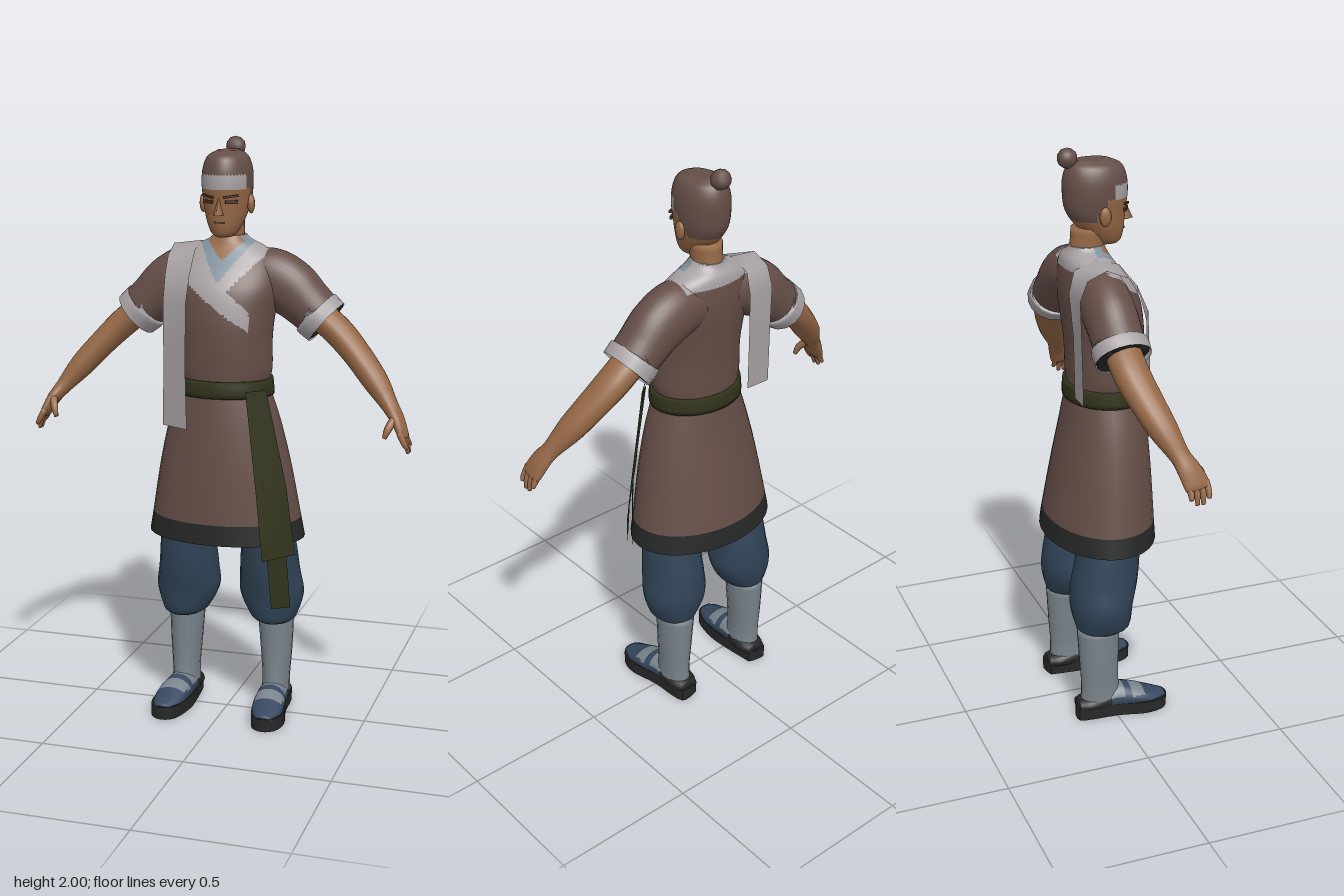
import * as THREE from 'three';

const mat = (name, color) => {
  const m = new THREE.MeshStandardMaterial({ color, side: THREE.DoubleSide });
  m.name = name;
  return m;
};

// Smooth skin through rows [x, y, z, a, b]; paint() picks a material per face.
function loft(rows, { seg = 24, steps = 24, axis, ref = [0, 0, 1], caps = true, mats = 1, paint = () => 0 } = {}) {
  const path = new THREE.CatmullRomCurve3(rows.map(r => new THREE.Vector3(r[0], r[1], r[2])), false, 'catmullrom', 0.5);
  const size = new THREE.CatmullRomCurve3(rows.map(r => new THREE.Vector3(r[3], r[4], 0)), false, 'catmullrom', 0.5);
  const pos = [], faces = Array.from({ length: mats }, () => []);
  const r = new THREE.Vector3(...ref);
  for (let i = 0; i <= steps; i++) {
    const c = path.getPoint(i / steps), k = size.getPoint(i / steps);
    const T = axis ? new THREE.Vector3(...axis) : path.getTangent(i / steps);
    const B = r.clone().addScaledVector(T, -T.dot(r)).normalize();
    const N = B.clone().cross(T);
    for (let j = 0; j < seg; j++) {
      const t = (j / seg) * Math.PI * 2;
      const p = c.clone().addScaledVector(N, k.x * Math.cos(t)).addScaledVector(B, k.y * Math.sin(t));
      pos.push(p.x, p.y, p.z);
    }
  }
  const add = (...f) => {
    const mid = [0, 1, 2].map(d => f.reduce((sum, v) => sum + pos[v * 3 + d], 0) / 3);
    faces[paint(...mid)].push(...f);
  };
  for (let i = 0; i < steps; i++) for (let j = 0; j < seg; j++) {
    const a = i * seg + j, b = i * seg + (j + 1) % seg;
    add(a, b, a + seg);
    add(b, b + seg, a + seg);
  }
  if (caps) {
    const first = pos.length / 3, end = steps * seg, last = rows[rows.length - 1];
    pos.push(...rows[0].slice(0, 3), ...last.slice(0, 3));
    for (let j = 0; j < seg; j++) {
      const n = (j + 1) % seg;
      add(first, n, j);
      add(first + 1, end + j, end + n);
    }
  }
  const g = new THREE.BufferGeometry();
  g.setAttribute('position', new THREE.Float32BufferAttribute(pos, 3));
  g.setIndex(faces.flat());
  let start = 0;
  faces.forEach((f, m) => { g.addGroup(start, f.length, m); start += f.length; });
  g.computeVertexNormals();
  return g;
}

// Horizontal section from extents: y, x from, x to, z front, z back
const ring = (y, x0, x1, zf, zb) => [(x0 + x1) / 2, y, (zf + zb) / 2, Math.abs(x1 - x0) / 2, (zf - zb) / 2];
const body = rows => rows.map(([y, rx, zf, zb]) => ring(y, -rx, rx, zf, zb));
const UP = [0, 1, 0];

// Flat cloth strip between two edges: rows of [x, y, z, x, y, z]
function ribbon(rows) {
  const g = new THREE.BufferGeometry(), idx = [];
  g.setAttribute('position', new THREE.Float32BufferAttribute(rows.flat(), 3));
  for (let i = 0; i < rows.length - 1; i++) idx.push(2 * i, 2 * i + 2, 2 * i + 1, 2 * i + 1, 2 * i + 2, 2 * i + 3);
  g.setIndex(idx);
  g.computeVertexNormals();
  return g;
}

export function createModel() {
  const model = new THREE.Group();
  model.name = 'robedFigure';
  const skin = mat('skin', 0x966846), brown = mat('brown cloth', 0x654e48), white = mat('pale cloth', 0xa8a1a4);
  const sockM = mat('grey sock', 0x7a848c), blue = mat('blue trousers', 0x304356), black = mat('black trim', 0x262727);
  const olive = mat('olive sash', 0x31331b), shoeM = mat('shoe blue', 0x36475f);
  const collar = mat('grey blue collar', 0x7f909b), dark = mat('dark features', 0x4b3324);
  const put = (name, geo, m, x = 0, y = 0, z = 0) => {
    const mesh = new THREE.Mesh(geo, m);
    mesh.name = name;
    mesh.position.set(x, y, z);
    model.add(mesh);
    return mesh;
  };

  // Tunic with crossed lapels and V collar
  const tunicMats = [brown, white, collar, skin];
  const tunicPaint = (x, y, z) => {
    const ax = Math.abs(x);
    if (z > 0 && y > 1.6 + ax) return 3;
    if (z > -0.03 && y > 1.53 + 1.4 * ax) return 2;
    if (z < -0.03) return y > 1.61 && ax < 0.14 ? 1 : 0;
    if (x < -0.2 || x > 0.14 || y < 1.45 - 0.7 * x) return 0;
    const lower = x < 0.11 && y < 1.51 - 0.9 * (x - 0.03);
    return lower || y > 1.5 + 1.1 * (x - 0.03) ? 1 : 0;
  };
  put('tunic', loft(body([
    [1.18, 0.15, 0.148, -0.1], [1.24, 0.163, 0.152, -0.102], [1.34, 0.163, 0.156, -0.106], [1.42, 0.17, 0.152, -0.115],
    [1.5, 0.182, 0.135, -0.124], [1.56, 0.178, 0.102, -0.125], [1.61, 0.158, 0.062, -0.12], [1.64, 0.122, 0.04, -0.115],
    [1.665, 0.072, 0.028, -0.1], [1.68, 0.056, 0.022, -0.094],
  ]), { seg: 96, steps: 80, axis: UP, mats: 4, paint: tunicPaint }), tunicMats);

  // Skirt with dark hem, and belt
  put('skirt', loft(body([
    [0.65, 0.275, 0.192, -0.192], [0.72, 0.262, 0.188, -0.182], [0.9, 0.23, 0.178, -0.15],
    [1.05, 0.195, 0.165, -0.122], [1.18, 0.152, 0.15, -0.103],
  ]), { seg: 32, steps: 32, axis: UP, caps: false, mats: 2, paint: (x, y) => (y < 0.717 ? 1 : 0) }), [brown, black]);
  put('belt', loft(body([[1.15, 0.17, 0.162, -0.113], [1.18, 0.169, 0.163, -0.113], [1.207, 0.166, 0.16, -0.111]]),
    { seg: 32, steps: 4, axis: UP }), olive);
  put('shortSashTail', ribbon([
    [0.11, 1.18, 0.158, 0.167, 1.18, 0.105], [0.15, 0.85, 0.17, 0.235, 0.85, 0.09], [0.18, 0.61, 0.192, 0.265, 0.61, 0.08],
  ]), olive);
  put('longSashTail', ribbon([
    [0.11, 1.17, 0.152, 0.16, 1.17, 0.11], [0.17, 0.8, 0.16, 0.225, 0.8, 0.1], [0.2, 0.43, 0.145, 0.25, 0.42, 0.08],
  ]), olive);

  // Stole over the right shoulder
  put('shoulderStole', ribbon([
    [-0.2, 1.19, -0.12, -0.11, 1.19, -0.118], [-0.2, 1.4, -0.125, -0.11, 1.4, -0.122], [-0.2, 1.55, -0.13, -0.1, 1.55, -0.133],
    [-0.2, 1.615, -0.105, -0.1, 1.625, -0.115], [-0.2, 1.642, -0.04, -0.1, 1.655, -0.04], [-0.197, 1.61, 0.035, -0.1, 1.63, 0.04],
    [-0.195, 1.55, 0.075, -0.1, 1.55, 0.105], [-0.195, 1.46, 0.1, -0.1, 1.46, 0.145],
    [-0.195, 1.25, 0.1, -0.1, 1.25, 0.155], [-0.195, 1.04, 0.11, -0.092, 1.04, 0.165],
  ]), white);

  // Head with hair, headband and topknot
  put('head', loft(body([
    [1.678, 0.026, 0.07, 0.0], [1.69, 0.042, 0.082, -0.02], [1.72, 0.058, 0.09, -0.05], [1.76, 0.071, 0.094, -0.085],
    [1.8, 0.079, 0.098, -0.108], [1.85, 0.084, 0.104, -0.115], [1.9, 0.081, 0.1, -0.114], [1.94, 0.066, 0.082, -0.1],
    [1.96, 0.035, 0.04, -0.075],
  ]), {
    seg: 48, steps: 56, axis: UP, mats: 3,
    paint: (x, y, z) => {
      if (z > 0.035 && y > 1.836 && y < 1.882) return 2;
      return y > 1.84 || (z < -0.02 && y > 1.765) || (z < 0.012 && y > 1.805) ? 1 : 0;
    },
  }), [skin, brown, white]);
  put('topknot', new THREE.IcosahedronGeometry(0.034, 1), brown, 0, 1.967, -0.1);
  put('neck', loft([[0, 1.58, -0.04, 0.06, 0.06], [0, 1.66, -0.035, 0.05, 0.058], [0, 1.74, -0.025, 0.052, 0.062]],
    { steps: 8, axis: UP }), skin);
  put('nose', new THREE.ConeGeometry(0.017, 0.06, 4), skin, 0, 1.783, 0.098).scale.z = 1.75;
  put('mouth', new THREE.BoxGeometry(0.034, 0.006, 0.008), dark, 0, 1.728, 0.088);

  for (const s of [1, -1]) {
    const side = s > 0 ? 'left' : 'right';
    const flip = rows => rows.map(([x, ...rest]) => [s * x, ...rest]);

    // Face features
    put(side + 'Ear', new THREE.SphereGeometry(1, 10, 8), skin, s * 0.083, 1.785, 0.0).scale.set(0.012, 0.032, 0.02);
    put(side + 'Eye', new THREE.BoxGeometry(0.042, 0.011, 0.008), dark, s * 0.04, 1.796, 0.086).rotation.y = s * 0.55;
    const brow = put(side + 'Brow', new THREE.BoxGeometry(0.05, 0.007, 0.009), dark, s * 0.04, 1.814, 0.089);
    brow.rotation.set(0, s * 0.55, s * 0.12);

    // Sleeve, turned cuff and its dark inside
    put(side + 'Sleeve', loft(flip([
      [0.06, 1.545, -0.037, 0.085, 0.08], [0.14, 1.538, -0.037, 0.1, 0.085], [0.21, 1.505, -0.037, 0.098, 0.086],
      [0.27, 1.455, -0.036, 0.086, 0.085], [0.325, 1.405, -0.036, 0.08, 0.085],
    ]), { seg: 32, steps: 30, mats: 4, paint: tunicPaint }), tunicMats);
    put(side + 'Cuff', loft(flip([
      [0.298, 1.428, -0.036, 0.08, 0.084], [0.302, 1.424, -0.036, 0.088, 0.095], [0.337, 1.394, -0.035, 0.085, 0.094],
    ]), { seg: 16, steps: 6, caps: false }), white);
    put(side + 'CuffInside', loft(flip([[0.325, 1.404, -0.036, 0.083, 0.091], [0.332, 1.398, -0.035, 0.083, 0.091]]),
      { seg: 16, steps: 1 }), black);

    // Arm, palm, fingers and thumb
    put(side + 'Arm', loft(flip([
      [0.3, 1.43, -0.035, 0.05, 0.06], [0.38, 1.365, -0.03, 0.05, 0.06], [0.45, 1.295, -0.008, 0.046, 0.056],
      [0.52, 1.215, 0.025, 0.042, 0.048], [0.575, 1.145, 0.058, 0.028, 0.034], [0.605, 1.105, 0.078, 0.022, 0.04],
      [0.628, 1.06, 0.096, 0.016, 0.043], [0.634, 1.045, 0.1, 0.01, 0.036],
    ]), { seg: 16, steps: 35 }), skin);
    for (let i = 0; i < 4; i++) {
      const z = 0.068 + i * 0.02, tip = 1.004 + (i % 3 ? -0.004 : 0.014);
      put(side + 'Finger' + (i + 1), loft(flip([
        [0.622, 1.07, z, 0.011, 0.012], [0.64, 1.035, z + 0.004, 0.01, 0.011], [0.65, tip, z + 0.002, 0.006, 0.007],
      ]), { seg: 8, steps: 6 }), skin);
    }
    put(side + 'Thumb', loft(flip([
      [0.6, 1.11, 0.1, 0.014, 0.016], [0.585, 1.08, 0.128, 0.013, 0.013], [0.575, 1.05, 0.138, 0.007, 0.008],
    ]), { seg: 8, steps: 6 }), skin);

    // Gathered trouser leg and sock
    const leg = rows => rows.map(([y, a, b, f, k]) => ring(y, s * a, s * b, f, k));
    put(side + 'TrouserLeg', loft(leg([
      [0.335, 0.105, 0.225, 0.04, -0.12], [0.355, 0.08, 0.243, 0.06, -0.135], [0.43, 0.042, 0.265, 0.07, -0.15],
      [0.52, 0.045, 0.252, 0.09, -0.145], [0.65, 0.048, 0.236, 0.1, -0.122], [0.85, 0.005, 0.19, 0.11, -0.1],
    ]), { seg: 20, steps: 25, axis: UP }), blue);
    put(side + 'Sock', loft(leg([
      [0.05, 0.118, 0.215, 0.03, -0.122], [0.12, 0.12, 0.215, 0.018, -0.12],
      [0.22, 0.112, 0.222, 0.016, -0.126], [0.36, 0.1, 0.227, 0.02, -0.134],
    ]), { seg: 16, steps: 12, axis: UP }), sockM);

    // Slipper: upper with strap, and sole
    put(side + 'Slipper', loft(flip([
      [0.165, 0.045, -0.134, 0.022, 0.035], [0.165, 0.05, -0.09, 0.03, 0.05], [0.168, 0.06, 0, 0.05, 0.05],
      [0.175, 0.055, 0.07, 0.042, 0.056], [0.18, 0.045, 0.13, 0.028, 0.052], [0.184, 0.04, 0.185, 0.014, 0.028],
    ]), {
      seg: 24, steps: 40, axis: [0, 0, 1], ref: [1, 0, 0], mats: 3,
      paint: (x, y, z) => {
        if (z < -0.02) return y < 0.075 ? 2 : 0;
        return z > 0.1 || y < 0.07 || (z > 0.03 && z < 0.055) ? 1 : 0;
      },
    }), [sockM, shoeM, black]);
    const outline = [[0.13, -0.13], [0.165, -0.14], [0.205, -0.128], [0.216, 0], [0.238, 0.1], [0.226, 0.168],
      [0.185, 0.195], [0.14, 0.17], [0.117, 0.08], [0.117, 0]].map(([x, z]) => new THREE.Vector2(s * x, z));
    const shape = new THREE.Shape();
    shape.moveTo(outline[0].x, outline[0].y);
    shape.splineThru([...outline.slice(1), outline[0]]);
    const sole = new THREE.ExtrudeGeometry(shape, { depth: 0.045, bevelEnabled: false, curveSegments: 3 });
    put(side + 'Sole', sole.rotateX(Math.PI / 2), black, 0, 0.045, 0);
  }
  return model;
}
